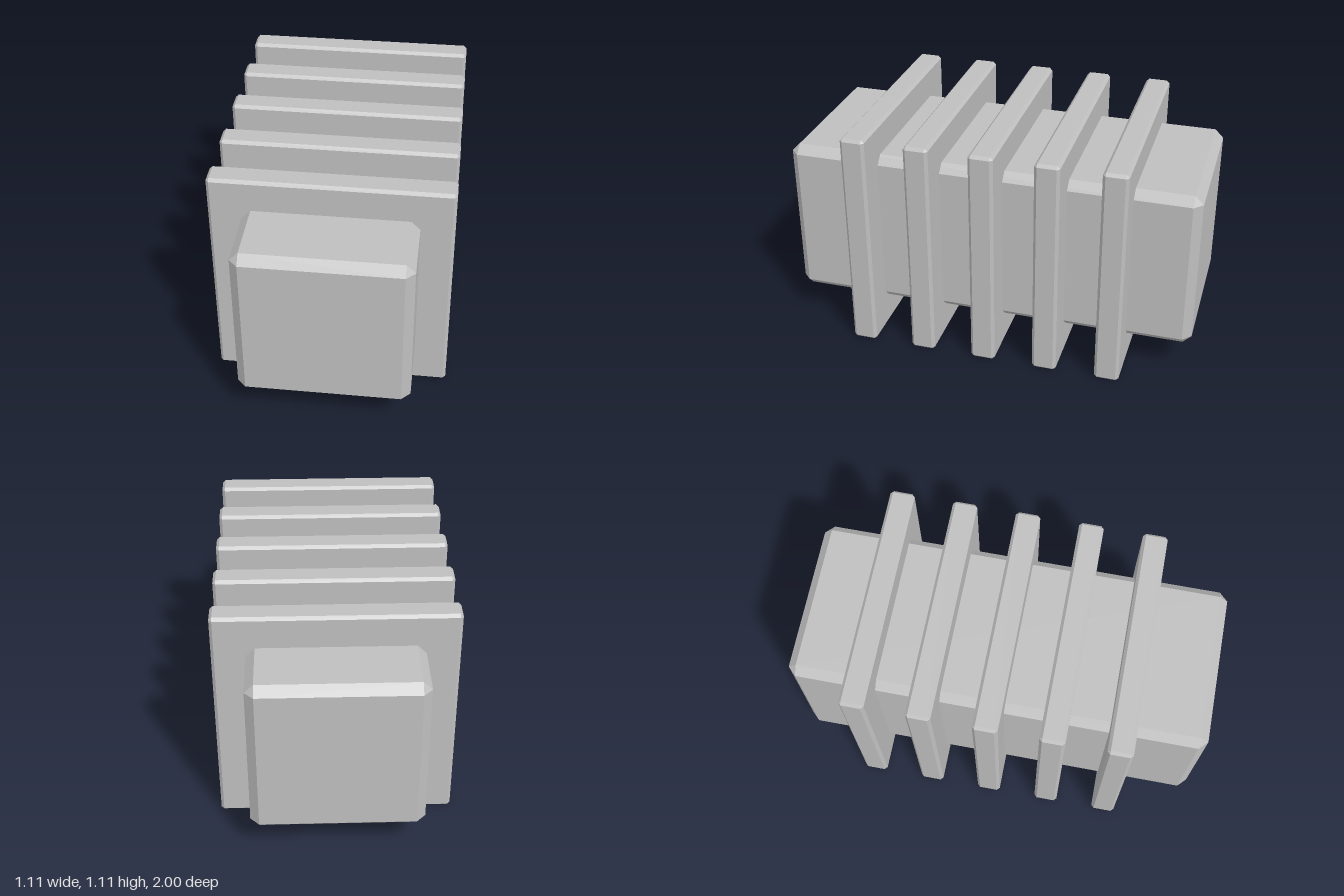
import * as THREE from 'three';
import { ConvexGeometry } from 'three/addons/geometries/ConvexGeometry.js';

// Box with every edge cut by a flat chamfer c
function chamferedBox(w, h, d, c) {
  const x = w / 2, y = h / 2, z = d / 2, points = [];
  for (const sx of [-1, 1]) for (const sy of [-1, 1]) for (const sz of [-1, 1]) {
    points.push(
      new THREE.Vector3(sx * x, sy * (y - c), sz * (z - c)),
      new THREE.Vector3(sx * (x - c), sy * y, sz * (z - c)),
      new THREE.Vector3(sx * (x - c), sy * (y - c), sz * z)
    );
  }
  return new ConvexGeometry(points);
}

export function createModel() {
  const model = new THREE.Group();
  model.name = 'finnedBlock';
  const grey = new THREE.MeshStandardMaterial({ color: 0xbfbfbf });
  grey.name = 'grey';
  const centreY = 0.555;

  // Long core block
  const core = new THREE.Mesh(chamferedBox(0.798, 0.796, 2, 0.041), grey);
  core.name = 'core';
  core.position.y = centreY;
  model.add(core);

  // Five evenly spaced square fins
  const finGeometry = chamferedBox(1.106, 1.106, 0.119, 0.014);
  for (let i = 0; i < 5; i++) {
    const fin = new THREE.Mesh(finGeometry, grey);
    fin.name = `fin${i + 1}`;
    fin.position.set(0, centreY, 0.601 - i * 0.308);
    model.add(fin);
  }
  return model;
}
